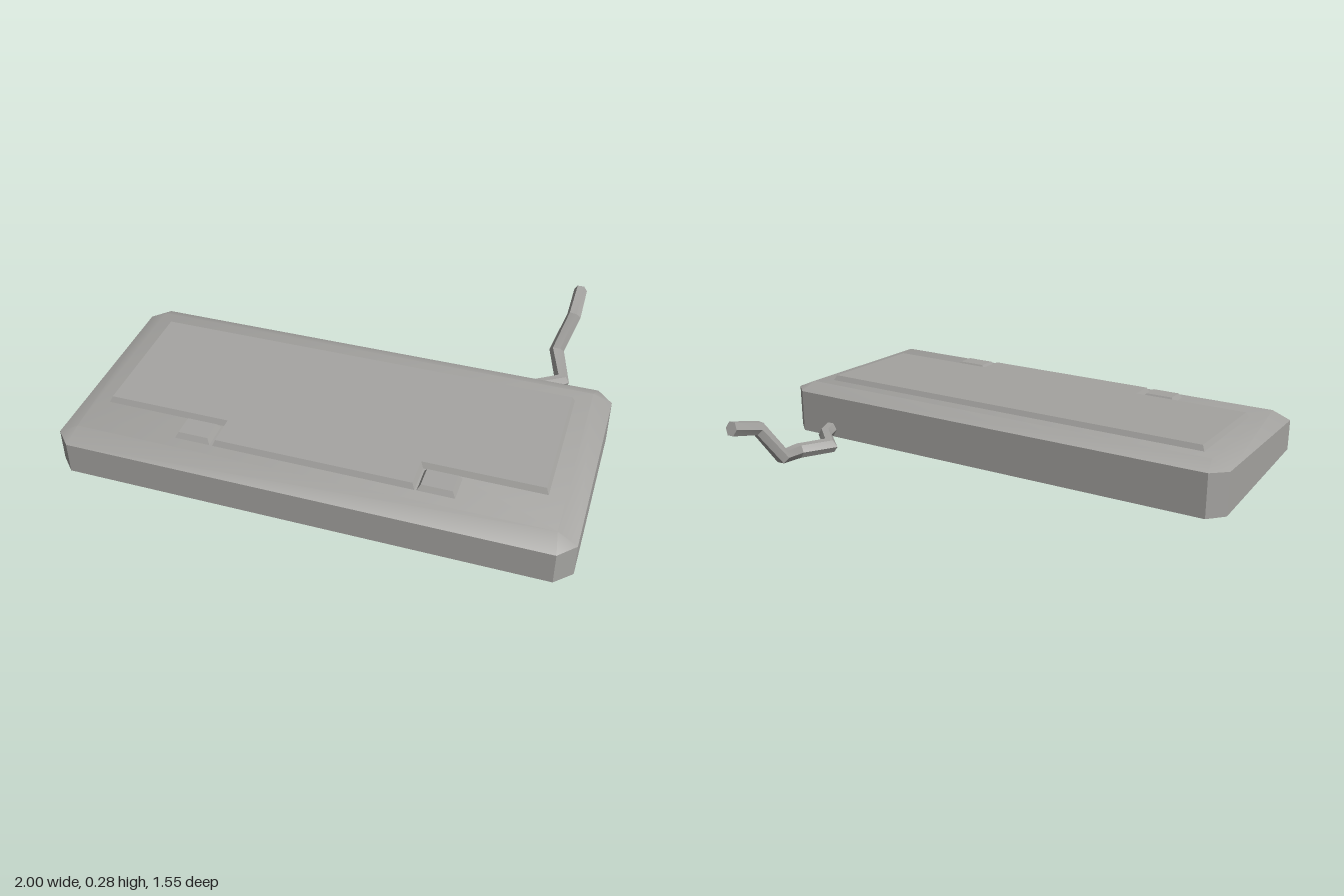
import * as THREE from 'three';
import { toCreasedNormals } from 'three/addons/utils/BufferGeometryUtils.js';

const grey = new THREE.MeshStandardMaterial({ color: 0xa5a4a1 });
grey.name = 'warm grey';

// Skins a stack of equal-length rings and closes both ends
function loft(name, rings) {
  const pos = [];
  const tri = (a, b, c) => {
    const area = b.clone().sub(a).cross(c.clone().sub(a)).length();
    if (area > 1e-9) for (const p of [a, b, c]) pos.push(p.x, p.y, p.z);
  };
  const n = rings[0].length;
  for (let i = 0; i + 1 < rings.length; i++) {
    for (let j = 0; j < n; j++) {
      const k = (j + 1) % n;
      tri(rings[i][j], rings[i][k], rings[i + 1][k]);
      tri(rings[i][j], rings[i + 1][k], rings[i + 1][j]);
    }
  }
  const cap = (ring, up) => {
    const mid = new THREE.Vector3();
    ring.forEach((p) => mid.addScaledVector(p, 1 / n));
    ring.forEach((p, j) => {
      const q = ring[(j + 1) % n];
      if (up) tri(mid, p, q); else tri(mid, q, p);
    });
  };
  cap(rings[0], false);
  cap(rings[rings.length - 1], true);
  const geo = new THREE.BufferGeometry();
  geo.setAttribute('position', new THREE.Float32BufferAttribute(pos, 3));
  const mesh = new THREE.Mesh(toCreasedNormals(geo, 0.6), grey);
  mesh.name = name;
  return mesh;
}

// Heights of the sloping deck and of the rim around it
const deckY = (z) => 0.2215 - 0.0592 * z;
const rimY = (z) => 0.187 - 0.0608 * z;

// Rectangle with cut corners, anticlockwise from above
function octagon(x, z0, z1, cut, height) {
  return [
    [x, z1 - cut], [x, z0 + cut], [x - cut, z0], [cut - x, z0],
    [-x, z0 + cut], [-x, z1 - cut], [cut - x, z1], [x - cut, z1],
  ].map(([px, pz]) => new THREE.Vector3(px, height(pz), pz));
}

// Raised plate with bevelled edges, following the deck slope
function plate(name, outline, inset, rise) {
  const n = outline.length;
  const ring = (d, lift) => outline.map(([x, z], j) => {
    const [ax, az] = outline[(j + n - 1) % n];
    const [bx, bz] = outline[(j + 1) % n];
    // inward normals of the two axis-aligned edges meeting here
    const dx = Math.sign(z - az) + Math.sign(bz - z);
    const dz = -Math.sign(x - ax) - Math.sign(bx - x);
    const pz = z + dz * d;
    return new THREE.Vector3(x + dx * d, deckY(pz) + lift, pz);
  });
  return loft(name, [ring(0, -0.004), ring(inset, rise)]);
}

// Angular tube with mitred bends
function cable(name, points, radius, sides) {
  const path = points.map((p) => new THREE.Vector3(...p));
  const dir = (i) => path[i + 1].clone().sub(path[i]).normalize();
  const last = path.length - 1;
  const rings = path.map((p, i) => {
    const a = dir(Math.max(i - 1, 0));
    const t = a.clone().add(dir(Math.min(i, last - 1))).normalize();
    const side = new THREE.Vector3(0, 1, 0).cross(t).normalize();
    const up = t.clone().cross(side);
    const mitre = Math.min(1 / t.dot(a), 1.5);
    return Array.from({ length: sides }, (_, j) => {
      const ang = (j / sides) * Math.PI * 2;
      return p.clone()
        .addScaledVector(side, Math.cos(ang) * radius * mitre)
        .addScaledVector(up, Math.sin(ang) * radius * 1.12);
    });
  });
  return loft(name, rings);
}

export function createModel() {
  const group = new THREE.Group();
  group.name = 'keyboard';

  // Wedge case with a bevelled top edge
  group.add(loft('case', [
    octagon(1, -0.13, 0.775, 0.062, () => 0.012),
    octagon(1, -0.13, 0.775, 0.062, rimY),
    octagon(0.925, -0.06, 0.7, 0, deckY),
  ]));

  // T-shaped key bed
  group.add(plate('keyBed', [
    [0.865, 0.54], [0.865, 0], [-0.875, 0], [-0.875, 0.54],
    [-0.385, 0.54], [-0.385, 0.655], [0.405, 0.655], [0.405, 0.54],
  ], 0.012, 0.022));

  // Two small keys beside the lower part of the bed
  for (const [name, x] of [['rightKey', -0.465], ['leftKey', 0.482]]) {
    group.add(plate(name, [
      [x + 0.073, 0.655], [x + 0.073, 0.545], [x - 0.073, 0.545], [x - 0.073, 0.655],
    ], 0.014, 0.021));
  }

  // Zigzag cable leaving the back
  group.add(cable('cable', [
    [0.795, 0.046, -0.11], [0.765, 0.046, -0.2], [0.67, 0.045, -0.29],
    [0.765, 0.032, -0.378], [0.71, 0.073, -0.54], [0.757, 0.213, -0.62],
    [0.757, 0.257, -0.767],
  ], 0.028, 6));

  return group;
}
